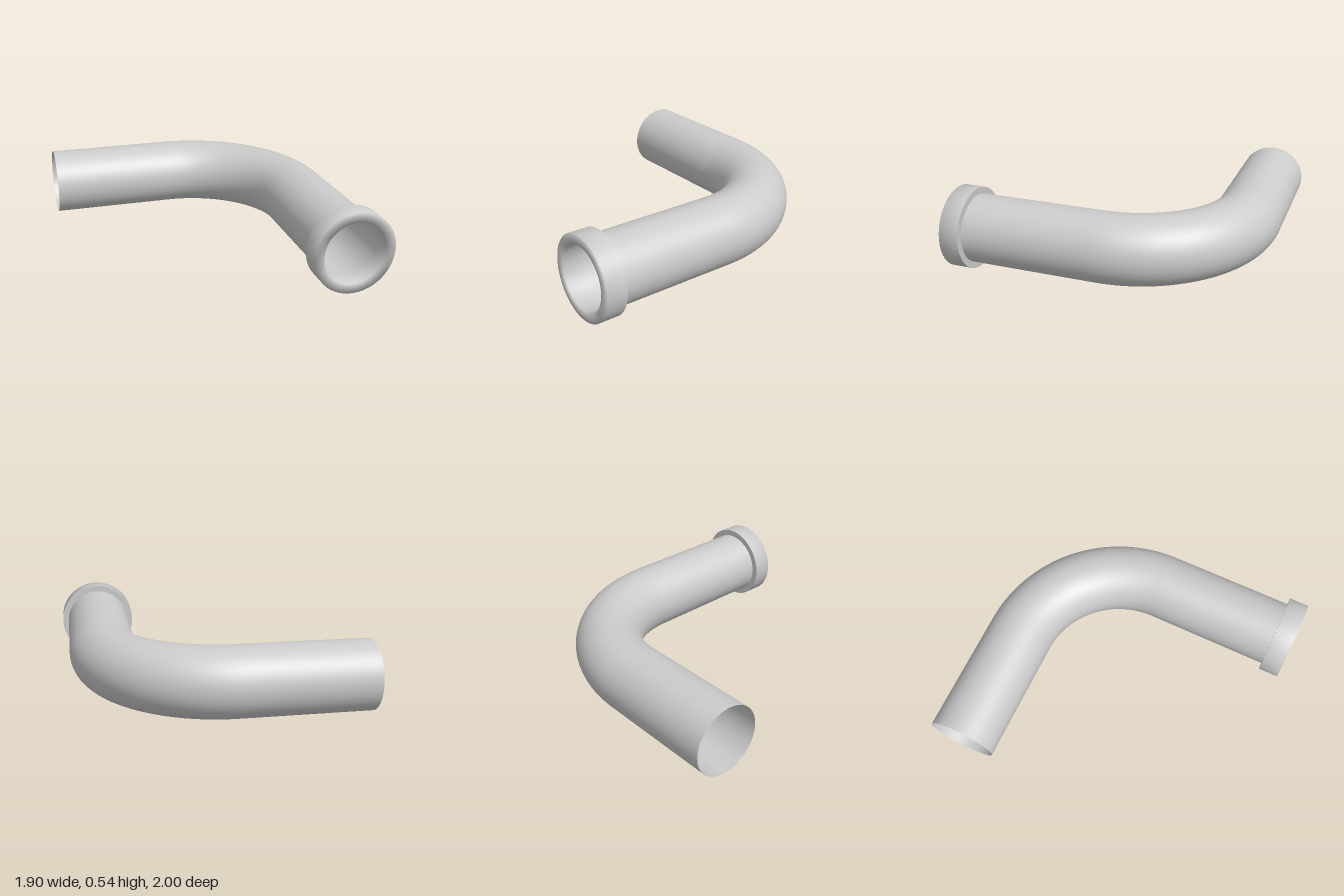
import * as THREE from 'three';

const AXIS_Y = 0.273;      // height of the pipe's centre line
const PIPE_R = 0.228;      // pipe radius
const BEND_R = 0.772;      // centre-line radius of the elbow
const BEND_X = -0.095;     // elbow centre (z = 0)
const SIDES = 64;

export function createModel() {
  const group = new THREE.Group();
  const solid = new THREE.MeshStandardMaterial({ color: 0xcccccc });
  const thin = new THREE.MeshStandardMaterial({ color: 0xcccccc, side: THREE.DoubleSide });

  const add = (name, geometry, material, x, z) => {
    const mesh = new THREE.Mesh(geometry, material);
    mesh.name = name;
    mesh.position.set(x, AXIS_Y, z);
    group.add(mesh);
  };
  const openTube = (length) => new THREE.CylinderGeometry(PIPE_R, PIPE_R, length, SIDES, 1, true);

  // Straight run along x, open at its far end
  const backLength = BEND_X + 0.955;
  add('backPipe', openTube(backLength).rotateZ(Math.PI / 2), thin, BEND_X - backLength / 2, -BEND_R);

  // Quarter-turn elbow
  const elbow = new THREE.TorusGeometry(BEND_R, PIPE_R, SIDES, 48, Math.PI / 2).rotateX(-Math.PI / 2);
  add('elbow', elbow, thin, BEND_X, 0);

  // Straight run along z, ending inside the collar
  const frontLength = 0.93;
  add('frontPipe', openTube(frontLength).rotateX(Math.PI / 2), thin, BEND_X + BEND_R, frontLength / 2);

  // Collar: sharp at the back (doubled point), softly shaded around the front rim
  const profile = [
    [0.207, 0.865], [0.272, 0.865], [0.272, 0.865],
    [0.272, 1], [0.207, 1], [0.207, 0.865],
  ].map(([r, h]) => new THREE.Vector2(r, h));
  add('collar', new THREE.LatheGeometry(profile, SIDES).rotateX(Math.PI / 2), solid, BEND_X + BEND_R, 0);

  return group;
}
